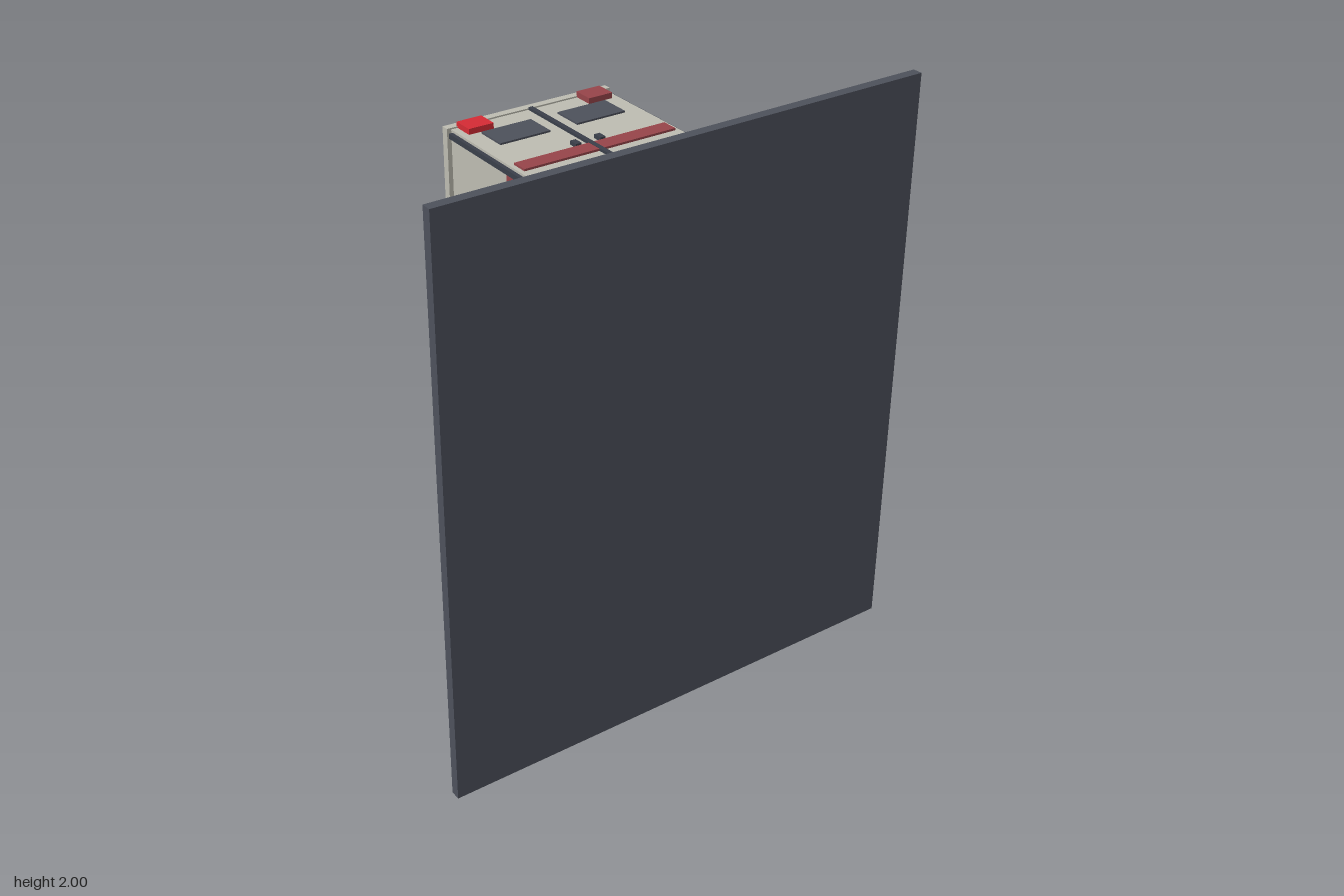
import * as THREE from 'three';

const mat = (name, color) => {
  const m = new THREE.MeshStandardMaterial({ color, flatShading: true });
  m.name = name;
  return m;
};

export function createModel() {
  const model = new THREE.Group();
  model.name = 'ambulance';
  const paint = mat('bodyPaint', 0xbdbcb1);
  const dark = mat('darkGrey', 0x4d515b);
  const trim = mat('darkTrim', 0x3a3f4a);
  const rubber = mat('tyreRubber', 0x2c2d35);
  const steel = mat('steelGrey', 0x838b93);
  const red = mat('brightRed', 0xd42b34);
  const maroon = mat('dullRed', 0x964449);

  // Box from its limits on x, y and z
  const box = (name, m, x0, x1, y0, y1, z0, z1) => {
    const g = new THREE.BoxGeometry(x1 - x0, y1 - y0, z1 - z0);
    const mesh = new THREE.Mesh(g, m);
    mesh.position.set((x0 + x1) / 2, (y0 + y1) / 2, (z0 + z1) / 2);
    mesh.name = name;
    model.add(mesh);
  };
  // Same box on both sides of x = 0
  const pair = (name, m, x0, x1, ...r) => {
    box(name + 'Left', m, x0, x1, ...r);
    box(name + 'Right', m, -x1, -x0, ...r);
  };

  // The vehicle's nose points to -y, its roof to -z, its wheels to the upright ground plate
  box('groundPlate', dark, -0.85, 0.85, 0, 2, 0.456, 0.49);

  // Lower body, hood and cab
  box('chassis', paint, -0.28, 0.28, 0.265, 1.75, 0.185, 0.305);
  box('hood', paint, -0.28, 0.28, 0.2, 0.82, 0.01, 0.255);
  box('cab', paint, -0.28, 0.28, 0.485, 0.83, -0.17, 0.01);
  box('cabRoof', paint, -0.275, 0.275, 0.48, 0.83, -0.205, -0.17);
  box('windshield', dark, -0.25, 0.25, 0.479, 0.486, -0.15, -0.02);
  box('grille', trim, -0.19, 0.19, 0.194, 0.201, 0.08, 0.19);
  box('noseLip', paint, -0.24, 0.24, 0.19, 0.2, 0.08, 0.13);
  pair('cabWindow', dark, 0.279, 0.286, 0.56, 0.77, -0.15, -0.02);
  pair('cabStripe', maroon, 0.279, 0.287, 0.42, 0.815, -0.012, 0.032);
  pair('doorSeam', trim, 0.279, 0.285, 0.806, 0.82, -0.02, 0.2);
  pair('doorHandle', trim, 0.279, 0.29, 0.645, 0.695, 0.055, 0.07);
  pair('mirror', dark, 0.3, 0.35, 0.465, 0.525, -0.09, -0.055);
  pair('mirrorArm', dark, 0.28, 0.3, 0.487, 0.503, -0.08, -0.065);
  pair('sideMarker', paint, 0.25, 0.285, 0.215, 0.26, 0.0, 0.035);

  // Patient compartment with raised edges
  box('compartment', paint, -0.29, 0.29, 0.835, 1.795, -0.365, 0.185);
  box('roofRim', paint, -0.305, 0.305, 0.825, 1.8, -0.387, -0.36);
  box('roofPanel', paint, -0.27, 0.27, 0.89, 1.76, -0.41, -0.387);
  pair('lowerRail', paint, 0.285, 0.3, 0.855, 1.79, 0.16, 0.188);
  for (const [y0, y1] of [[0.855, 0.87], [1.77, 1.787]])
    pair('sideTrim', trim, 0.289, 0.303, y0, y1, -0.352, 0.16);
  pair('compartmentStripe', maroon, 0.289, 0.295, 0.87, 1.77, -0.034, 0.022);

  // Red crosses on both sides, made of three plates each
  pair('crossBar', red, 0.289, 0.297, 1.327, 1.387, -0.237, -0.07);
  pair('crossTop', red, 0.289, 0.297, 1.387, 1.44, -0.18, -0.125);
  pair('crossBottom', red, 0.289, 0.297, 1.273, 1.327, -0.18, -0.125);

  // Rear doors
  box('rearStripe', maroon, -0.275, 0.275, 1.794, 1.802, -0.022, 0.035);
  box('rearDoorSeam', trim, -0.008, 0.008, 1.794, 1.804, -0.36, 0.187);
  pair('rearWindow', dark, 0.05, 0.23, 1.794, 1.801, -0.28, -0.17);
  pair('rearHandle', trim, 0.034, 0.054, 1.794, 1.808, -0.055, -0.022);
  box('tailLightLeft', maroon, 0.178, 0.267, 1.794, 1.814, -0.365, -0.292);
  box('tailLightRight', red, -0.267, -0.178, 1.794, 1.814, -0.365, -0.292);

  // Roof light bar
  box('lightBarBase', dark, -0.23, 0.23, 0.8, 0.93, -0.45, -0.408);
  box('beaconLeft', maroon, 0.015, 0.217, 0.81, 0.922, -0.492, -0.45);
  box('beaconRight', red, -0.217, -0.015, 0.81, 0.922, -0.492, -0.45);

  // Bumpers and fenders
  box('rearBumper', steel, -0.32, 0.32, 1.77, 1.837, 0.235, 0.285);
  box('rearBumperMount', steel, -0.2, 0.2, 1.745, 1.77, 0.24, 0.28);
  box('frontBumper', steel, -0.32, 0.32, 0.155, 0.215, 0.235, 0.285);
  box('frontBumperLip', steel, -0.25, 0.25, 0.163, 0.195, 0.285, 0.3);
  for (const [y0, y1] of [[0.335, 0.6], [1.41, 1.675]])
    pair('fender', paint, 0.275, 0.32, y0, y1, 0.183, 0.228);

  // Ten-sided wheels with hubs
  const tyreGeo = new THREE.CylinderGeometry(0.127, 0.127, 0.085, 10).rotateZ(Math.PI / 2);
  const hubGeo = new THREE.CylinderGeometry(0.054, 0.054, 0.092, 10).rotateZ(Math.PI / 2);
  for (const y of [0.465, 1.54])
    for (const s of [-1, 1]) {
      const wheel = new THREE.Group();
      wheel.name = (y < 1 ? 'front' : 'rear') + 'Wheel' + (s > 0 ? 'Left' : 'Right');
      const tyre = new THREE.Mesh(tyreGeo, rubber);
      tyre.name = 'tyre';
      const hub = new THREE.Mesh(hubGeo, steel);
      hub.name = 'hub';
      wheel.add(tyre, hub);
      wheel.position.set(s * 0.277, y, 0.325);
      model.add(wheel);
    }

  return model;
}
